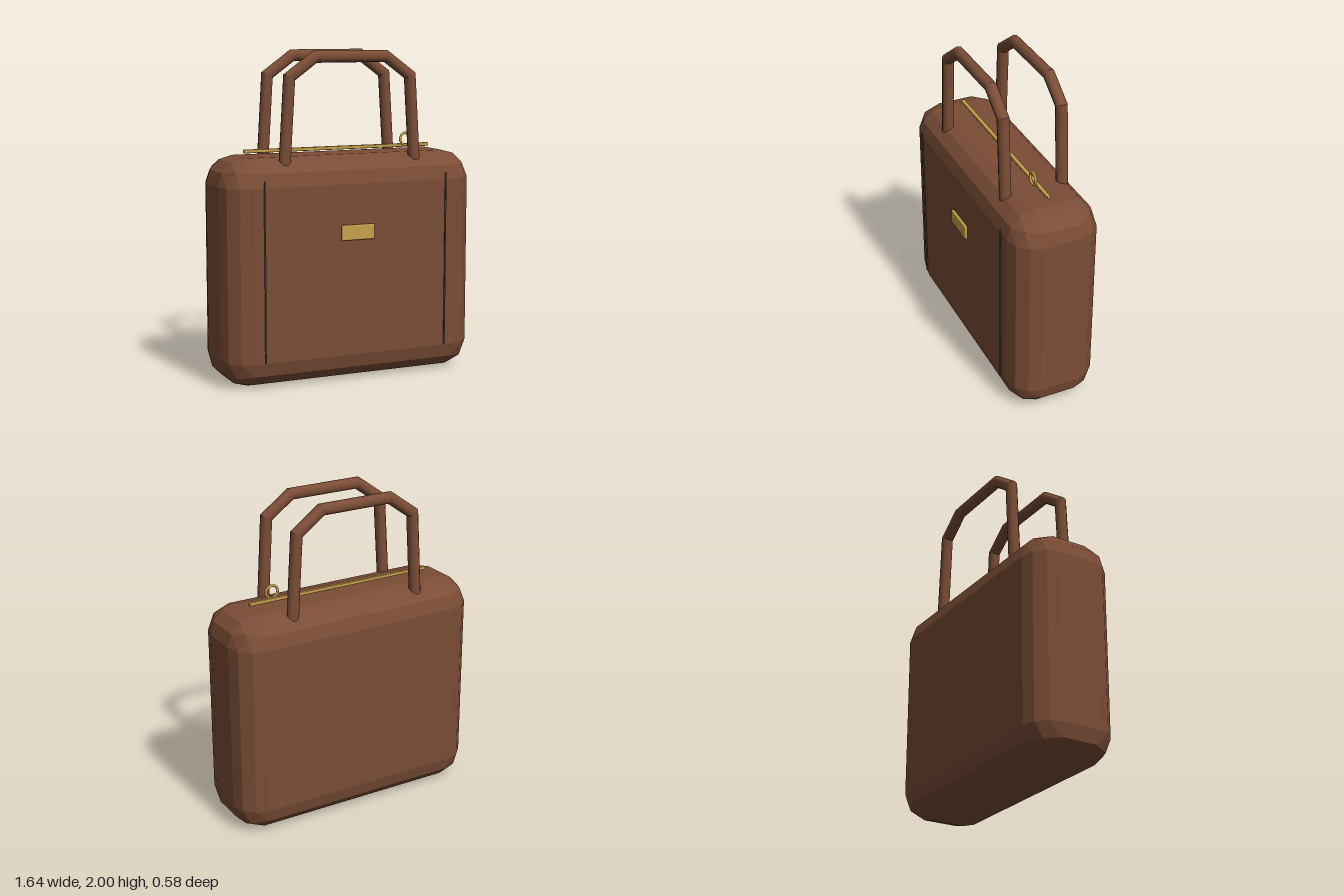
import * as THREE from 'three';
import { ConvexGeometry } from 'three/addons/geometries/ConvexGeometry.js';
import { RoundedBoxGeometry } from 'three/addons/geometries/RoundedBoxGeometry.js';
import { toCreasedNormals } from 'three/addons/utils/BufferGeometryUtils.js';

const Z0 = -0.013; // middle of the bag body in depth

// Box with every edge bevelled in three flat steps
function bevelledBox(w, h, d, r) {
  const points = [];
  const step = (n) => Math.sin((n * Math.PI) / 6);
  for (const sx of [-1, 1]) for (const sy of [-1, 1]) for (const sz of [-1, 1]) {
    for (let i = 0; i <= 3; i++) for (let j = 0; j <= 3 - i; j++) {
      const p = new THREE.Vector3(step(i), step(j), step(3 - i - j)).setLength(r);
      p.add(new THREE.Vector3(w / 2 - r, h / 2 - r, d / 2 - r));
      points.push(p.multiply(new THREE.Vector3(sx, sy, sz)));
    }
  }
  return new ConvexGeometry(points);
}

// Round bar following a path in the xy plane, with mitred bends
function mitredBar(path, radius) {
  const pts = path.map(([x, y]) => new THREE.Vector2(x, y));
  const rows = pts.length - 1;
  const geo = new THREE.CylinderGeometry(radius, radius, 1, 12, rows, true);
  const pos = geo.attributes.position;
  const dir = (a, b) => pts[b].clone().sub(pts[a]).normalize();
  for (let i = 0; i < pos.count; i++) {
    const k = Math.round((0.5 - pos.getY(i)) * rows);
    const before = dir(Math.max(k - 1, 0), Math.max(k, 1));
    const after = dir(Math.min(k, rows - 1), Math.min(k + 1, rows));
    const t = before.clone().add(after).normalize();
    const offset = pos.getX(i) / t.dot(before);
    pos.setXY(i, pts[k].x - t.y * offset, pts[k].y + t.x * offset);
  }
  return toCreasedNormals(geo, 0.55);
}

export function createModel() {
  const bag = new THREE.Group();
  bag.name = 'handbag';

  const material = (name, color) => {
    const m = new THREE.MeshStandardMaterial({ color });
    m.name = name;
    return m;
  };
  const leather = material('brown leather', 0x7b4d36);
  const brass = material('brass', 0xc9a04a);
  const thread = material('dark thread', 0x4c4c44);

  const add = (name, geometry, mat, x, y, z) => {
    const mesh = new THREE.Mesh(geometry, mat);
    mesh.name = name;
    mesh.position.set(x, y, z);
    bag.add(mesh);
    return mesh;
  };

  // Body
  add('body', bevelledBox(1.636, 1.375, 0.555, 0.165), leather, 0, 0.6875, Z0);

  // Front and back handles, their feet sunk into the body
  const half = [[-0.436, 1.2], [-0.396, 1.847], [-0.231, 1.966]];
  const path = [...half, ...half.map(([x, y]) => [-x, y]).reverse()];
  const handle = mitredBar(path, 0.036);
  add('frontHandle', handle, leather, 0, 0, Z0 + 0.182);
  add('backHandle', handle, leather, 0, 0, Z0 - 0.182);

  // Zip along the top with its ring pull
  add('zip', new RoundedBoxGeometry(1.24, 0.022, 0.022, 1, 0.005), brass, 0, 1.403, -0.016);
  add('zipPull', new THREE.TorusGeometry(0.039, 0.008, 8, 20), brass, 0.455, 1.443, 0.006);

  // Clasp plate on the front
  add('claspPlate', new RoundedBoxGeometry(0.216, 0.094, 0.02, 2, 0.008), brass, 0, 0.92, 0.28);

  // Upright seams on the front
  for (const side of [-1, 1]) {
    add(side > 0 ? 'leftSeam' : 'rightSeam', new THREE.BoxGeometry(0.008, 1.08, 0.008),
      thread, side * 0.595, 0.71, 0.277);
  }

  return bag;
}
